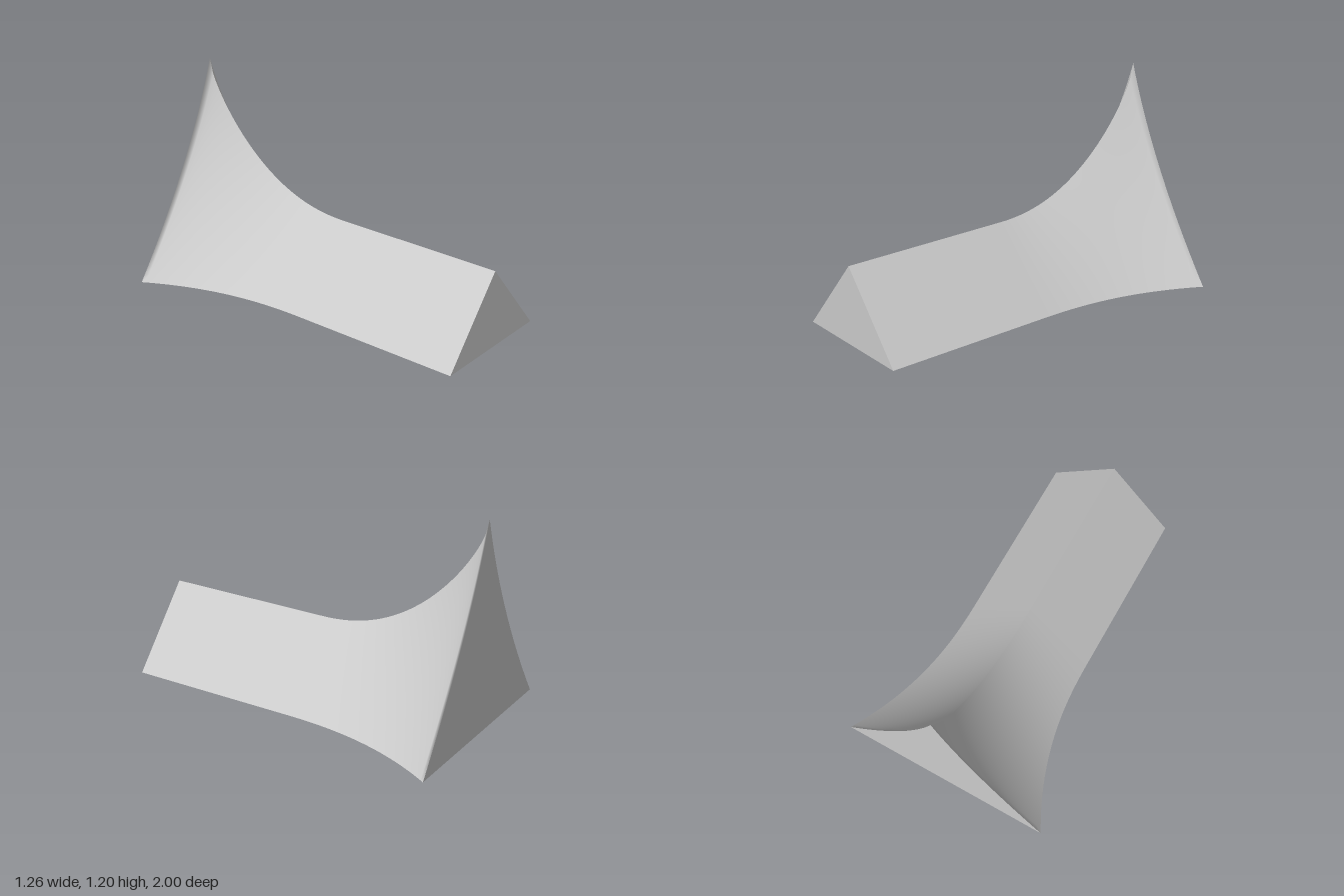
import * as THREE from 'three';
import { ParametricGeometry } from 'three/addons/geometries/ParametricGeometry.js';

// Point on the +x flank: s runs from the bottom edge (0) to the ridge (1), z along the length.
function flank(s, z, target) {
  const t = Math.max(0, -z);
  // the sweep starts gently and rises more steeply towards the ridge
  const power = Math.pow(t, 2.3);
  const arc = 1 - Math.sqrt(Math.max(0, 1 - t * t));
  const f = power + 0.45 * s * (arc - power);
  // straight front section blended into a concave flared back section
  const r = 1 - s;
  const backX = 0.63 * r * r + 2 * 0.18 * r * s;
  const backY = 2 * 0.64 * r * s + 1.2 * s * s;
  return target.set(
    THREE.MathUtils.lerp(0.38 * r, backX, f),
    THREE.MathUtils.lerp(0.45 * s, backY, f),
    z
  );
}

// Closed outline from half an outline mirrored in x, as a flat face.
function mirroredFace(half) {
  const other = half.map((p) => new THREE.Vector2(-p.x, p.y)).reverse();
  return new THREE.ShapeGeometry(new THREE.Shape([...half, ...other]));
}

export function createModel() {
  const group = new THREE.Group();
  const material = new THREE.MeshStandardMaterial({ color: 0xcccccc });
  const add = (name, geometry) => {
    const mesh = new THREE.Mesh(geometry, material);
    mesh.name = name;
    group.add(mesh);
    return mesh;
  };

  // Two flared flanks meeting at the ridge
  for (const side of [1, -1]) {
    const surface = (u, v, target) => {
      flank(side > 0 ? 1 - u : u, 1 - 2 * v, target);
      target.x *= side;
    };
    add(side > 0 ? 'leftFlank' : 'rightFlank', new ParametricGeometry(surface, 32, 96));
  }

  // Triangular front face
  const front = mirroredFace([new THREE.Vector2(0.38, 0), new THREE.Vector2(0, 0.45)]);
  add('frontFace', front.translate(0, 0, 1));

  // Concave-sided back face
  const p = new THREE.Vector3();
  const backHalf = [];
  for (let i = 0; i <= 32; i++) {
    flank(i / 32, -1, p);
    backHalf.push(new THREE.Vector2(p.x, p.y));
  }
  add('backFace', mirroredFace(backHalf).rotateY(Math.PI).translate(0, 0, -1));

  // Flat underside following the bottom edges
  const baseHalf = [];
  for (let i = 0; i <= 96; i++) {
    flank(0, 1 - i / 48, p);
    baseHalf.push(new THREE.Vector2(p.x, p.z));
  }
  add('underside', mirroredFace(baseHalf).rotateX(Math.PI / 2));

  return group;
}
